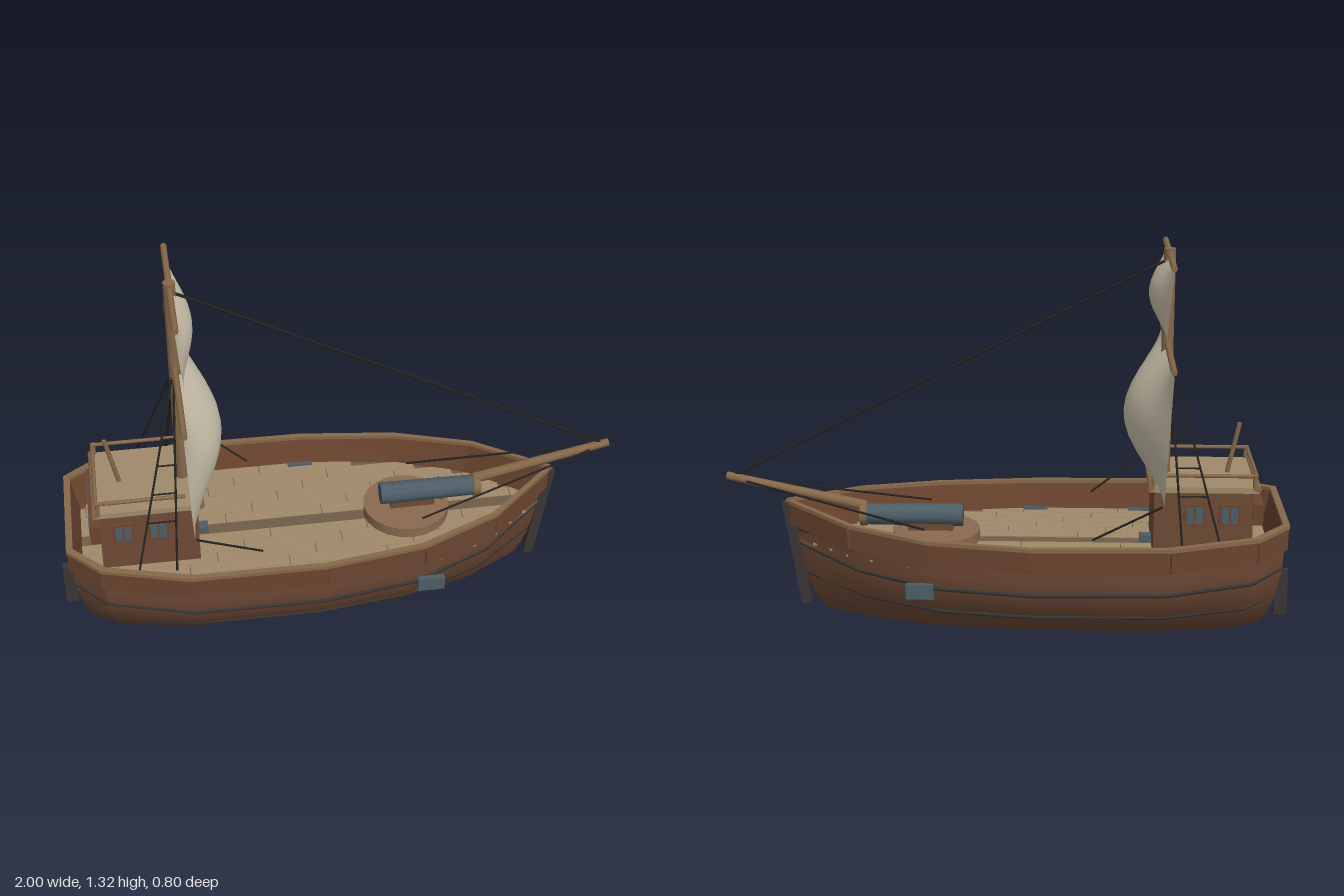
import * as THREE from 'three';
import { toCreasedNormals } from 'three/addons/utils/BufferGeometryUtils.js';

const V = (x, y, z) => new THREE.Vector3(x, y, z);
const mat = (color, side = THREE.FrontSide) => {
  const m = new THREE.MeshStandardMaterial({ color });
  m.side = side;
  return m;
};
const M = {
  hull: mat(0x6f4a36), panel: mat(0x6b452f), rail: mat(0x86684a), deck: mat(0xa08a6c), seam: mat(0x6f5c46),
  cabin: mat(0x6f4a34), disc: mat(0x8a6a50), iron: mat(0x4d5d66), dark: mat(0x3a3634), rope: mat(0x25221f),
  sail: mat(0xcfc6b0, THREE.DoubleSide),
};
const DECK = 0.272;

// Half plan of the rim, stern to bow: x, rim height, half breadth
const HALF = [[-0.97, 0.41, 0.21], [-0.86, 0.395, 0.31], [-0.56, 0.38, 0.38], [-0.09, 0.375, 0.38],
  [0.26, 0.378, 0.33], [0.54, 0.392, 0.215], [0.785, 0.412, 0.008]];
const RIM = [...HALF.map(p => V(...p)), ...HALF.slice().reverse().map(([x, y, z]) => V(x, y, -z))];

// Hull levels: height, half breadth, stern x, bow x
const LEVELS = [[0, 0.18, -0.84, 0.64], [0.02, 0.225, -0.89, 0.67], [0.06, 0.27, -0.915, 0.695], [0.1, 0.302, -0.928, 0.712],
  [0.15, 0.337, -0.938, 0.728], [0.2, 0.358, -0.948, 0.742], [0.25, 0.366, -0.953, 0.752], [0.3, 0.368, -0.957, 0.762]];

const hullRing = ([y, w, xs, xb]) => RIM.map(p =>
  V(xs + (p.x + 0.97) / 1.755 * (xb - xs), y + (p.y - 0.375) * y * 4, p.z / 0.38 * w));

// Rim plan drawn in by about the same distance at the sides and the ends
const shrink = (p, k, y) => V(-0.1 + (p.x + 0.1) * (0.52 + 0.48 * k), y, p.z * k);

// Skin between closed cross-sections, with a cap at the start and, unless open, at the end
function loft(rings, crease = 0.1, open = false) {
  const pos = [], n = rings[0].length;
  const tri = (...ps) => ps.forEach(p => pos.push(p.x, p.y, p.z));
  for (let i = 0; i < rings.length - 1; i++) for (let j = 0; j < n; j++) {
    const k = (j + 1) % n, [r, s] = [rings[i], rings[i + 1]];
    tri(r[j], r[k], s[k]);
    tri(r[j], s[k], s[j]);
  }
  const last = rings[rings.length - 1];
  for (let j = 1; j < n - 1; j++) {
    tri(rings[0][0], rings[0][j + 1], rings[0][j]);
    if (!open) tri(last[0], last[j], last[j + 1]);
  }
  const g = new THREE.BufferGeometry();
  g.setAttribute('position', new THREE.Float32BufferAttribute(pos, 3));
  return toCreasedNormals(g, crease);
}

export function createModel() {
  const root = new THREE.Group();
  root.name = 'sailingShip';
  const add = (name, geo, m, parent = root) => {
    const mesh = new THREE.Mesh(geo, m);
    mesh.name = name;
    parent.add(mesh);
    return mesh;
  };
  const group = name => {
    const g = new THREE.Group();
    g.name = name;
    root.add(g);
    return g;
  };
  const box = (name, x, y, z, w, h, d, m, parent) => {
    const b = add(name, new THREE.BoxGeometry(w, h, d), m, parent);
    b.position.set(x, y, z);
    return b;
  };
  const rod = (name, a, b, r, m, parent, sides = 8, r2 = r) => {
    const c = add(name, new THREE.CylinderGeometry(r2, r, a.distanceTo(b), sides), m, parent);
    c.position.copy(a).lerp(b, 0.5);
    c.quaternion.setFromUnitVectors(V(0, 1, 0), b.clone().sub(a).normalize());
  };

  // Hull with two raised wales that sweep up at both ends
  add('hull', loft(LEVELS.map(hullRing), 0.5, true), M.hull);
  const wales = group('wales');
  for (const level of [LEVELS[3], LEVELS[5]]) {
    const ring = hullRing(level).map((p, i) => p.setY(p.y + (RIM[i].y - 0.375) * 0.65));
    ring.forEach((p, i) => rod('wale', p, ring[(i + 1) % ring.length], 0.008, M.dark, wales, 6));
  }
  const stem = box('stemPost', 0.75, 0.212, 0, 0.035, 0.385, 0.036, M.dark);
  stem.rotation.z = -0.155;
  box('rudder', -0.977, 0.085, 0, 0.046, 0.17, 0.022, M.dark);

  // Bulwark panels and rail, one piece for each side of the plan
  const bulwark = group('bulwark');
  RIM.forEach((p, i) => {
    const q = RIM[(i + 1) % RIM.length];
    if (p.distanceTo(q) < 0.05) return;
    const panelEnds = [0.012, 0.988].map(t => p.clone().lerp(q, t));
    add('bulwarkPanel', loft(panelEnds.map(e => [shrink(e, 0.992, e.y - 0.088), shrink(e, 0.93, e.y - 0.088),
      shrink(e, 0.96, e.y - 0.01), shrink(e, 0.994, e.y - 0.01)])), M.panel, bulwark);
    add('bulwarkCore', loft([p, q].map(e => [shrink(e, 0.975, e.y - 0.085), shrink(e, 0.88, DECK - 0.01),
      shrink(e, 0.95, e.y - 0.01), shrink(e, 0.975, e.y - 0.01)])), M.panel, bulwark);
    add('rail', loft([p, q].map(e => [shrink(e, 1, e.y - 0.013), shrink(e, 0.945, e.y - 0.013),
      shrink(e, 0.945, e.y), shrink(e, 1, e.y)])), M.rail, bulwark);
  });

  // Deck with staggered planks
  const deck = group('deck');
  add('deckBase', loft([DECK - 0.02, DECK - 0.003].map(y => RIM.map(p => shrink(p, 0.92, y)))), M.seam, deck);
  const edge = HALF.map(([x, , z]) => shrink(V(x, 0, z), 0.9, 0));
  const reach = z => {
    let lo = edge[0].x, hi = lo;
    for (let i = 0; i < edge.length - 1; i++) {
      const a = edge[i], b = edge[i + 1];
      if ((a.z - z) * (b.z - z) >= 0) continue;
      const x = a.x + (b.x - a.x) * (z - a.z) / (b.z - a.z);
      if (b.z > a.z) lo = x; else hi = x;
    }
    return [lo, hi];
  };
  for (let i = -6; i <= 6; i++) {
    const [lo, hi] = reach(Math.abs(i) * 0.052 + 0.004);
    for (let x = -1.3 + ((i + 6) * 5 % 7) * 0.05; x < hi; x += 0.35) {
      const a = Math.max(lo, x), b = Math.min(hi, x + 0.347);
      if (b - a > 0.01) box('plank', (a + b) / 2, DECK - 0.003, i * 0.052, b - a, 0.006, 0.05, M.deck, deck);
    }
  }

  // Iron fittings on the deck and along the sides
  box('deckFitting', -0.49, DECK + 0.012, 0, 0.04, 0.025, 0.04, M.iron);
  for (const s of [-1, 1]) {
    for (const x of [-0.485, -0.095]) box('deckFitting', x, DECK - 0.018, s * 0.322, 0.09, 0.05, 0.016, M.iron);
    box('sidePort', 0.285, 0.195, s * 0.318, 0.095, 0.052, 0.02, M.iron);
  }

  // Cabin with windows, roof and roof rail
  const cabin = group('cabin');
  box('cabinWalls', -0.68, 0.385, 0, 0.34, 0.26, 0.31, M.cabin, cabin);
  box('cabinRoof', -0.68, 0.52, 0, 0.375, 0.02, 0.35, M.deck, cabin);
  for (const x of [-0.862, -0.498]) rod('roofBeam', V(x, 0.526, -0.178), V(x, 0.526, 0.178), 0.011, M.rail, cabin);
  for (const s of [-1, 1]) {
    for (const x of [-0.77, -0.65]) {
      box('windowFrame', x, 0.425, s * 0.158, 0.075, 0.08, 0.012, M.panel, cabin);
      box('windowPane', x, 0.425, s * 0.163, 0.055, 0.06, 0.008, M.iron, cabin);
      box('windowBar', x, 0.425, s * 0.167, 0.006, 0.06, 0.006, M.panel, cabin);
    }
    rod('roofRail', V(-0.86, 0.57, s * 0.168), V(-0.55, 0.57, s * 0.168), 0.007, M.rail, cabin);
    for (const x of [-0.85, -0.505]) rod('railPost', V(x, 0.52, s * 0.17), V(x, 0.575, s * 0.17), 0.007, M.rail, cabin);
  }
  rod('rearRail', V(-0.855, 0.57, -0.168), V(-0.855, 0.57, 0.168), 0.007, M.rail, cabin);
  box('rearWindowFrame', -0.866, 0.43, 0, 0.036, 0.075, 0.33, M.panel, cabin);
  for (const z of [-0.1, 0, 0.1]) box('rearWindow', -0.884, 0.43, z, 0.006, 0.052, 0.065, M.iron, cabin);
  rod('tiller', V(-0.77, 0.53, 0), V(-0.808, 0.71, 0), 0.008, M.rail, cabin);

  // Mast, yards and billowing sails
  const rig = group('rig');
  rod('mast', V(-0.55, DECK, 0), V(-0.55, 1.32, 0), 0.022, M.rail, rig, 10, 0.021);
  const sail = (name, top, bottom, wTop, wBottom, depth) => {
    const g = new THREE.PlaneGeometry(2, 1, 16, 12), p = g.attributes.position;
    for (let i = 0; i < p.count; i++) {
      const u = p.getX(i), v = 0.5 - p.getY(i);
      p.setXYZ(i, -0.552 + 0.018 * v + depth * Math.sin(Math.PI * v) * (1 - u * u),
        top + (bottom - top) * v, -u * (wTop + (wBottom - wTop) * v));
    }
    g.computeVertexNormals();
    add(name, g, M.sail, rig);
    rod(name + 'Yard', V(-0.55, top + 0.006, -wTop - 0.005), V(-0.55, top + 0.006, wTop + 0.005), 0.011, M.rail, rig);
  };
  sail('mainSail', 0.985, 0.515, 0.395, 0.34, 0.138);
  sail('topSail', 1.295, 1.055, 0.26, 0.235, 0.06);

  // Bowsprit and ropes
  rod('bowsprit', V(0.5, 0.39, 0), V(0.992, 0.497, 0), 0.02, M.rail, root, 8, 0.015);
  rod('forestay', V(-0.54, 1.28, 0), V(0.96, 0.502, 0), 0.005, M.rope, rig, 6);
  for (const s of [-1, 1]) {
    rod('bowRope', V(0.92, 0.48, s * 0.015), V(0.28, 0.36, s * 0.16), 0.004, M.rope, rig, 6);
    rod('sheet', V(-0.527, 0.515, s * 0.34), V(-0.3, 0.365, s * 0.255), 0.004, M.rope, rig, 6);
    const top = V(-0.555, 0.98, 0), aft = V(-0.73, 0.36, s * 0.305), fore = V(-0.6, 0.36, s * 0.305);
    for (const foot of [aft, fore]) rod('shroud', top, foot, 0.004, M.rope, rig, 6);
    for (const t of [0.34, 0.47, 0.61, 0.75])
      rod('ratline', top.clone().lerp(aft, t), top.clone().lerp(fore, t), 0.003, M.rope, rig, 5);
  }

  // Gun on its turntable
  const gun = group('gun');
  const disc = add('turntable', new THREE.CylinderGeometry(0.155, 0.155, 0.045, 20), M.disc, gun);
  disc.position.set(0.25, DECK + 0.015, 0);
  box('gunCradle', 0.27, 0.325, 0, 0.16, 0.04, 0.06, M.cabin, gun);
  rod('barrel', V(0.155, 0.36, 0), V(0.5, 0.36, 0), 0.041, M.iron, gun, 10, 0.038);
  for (const x of [0.2, 0.37]) rod('barrelBand', V(x, 0.36, 0), V(x + 0.012, 0.36, 0), 0.042, M.iron, gun, 10);
  rod('muzzleRing', V(0.495, 0.36, 0), V(0.52, 0.36, 0), 0.043, M.rail, gun, 10);
  return root;
}
